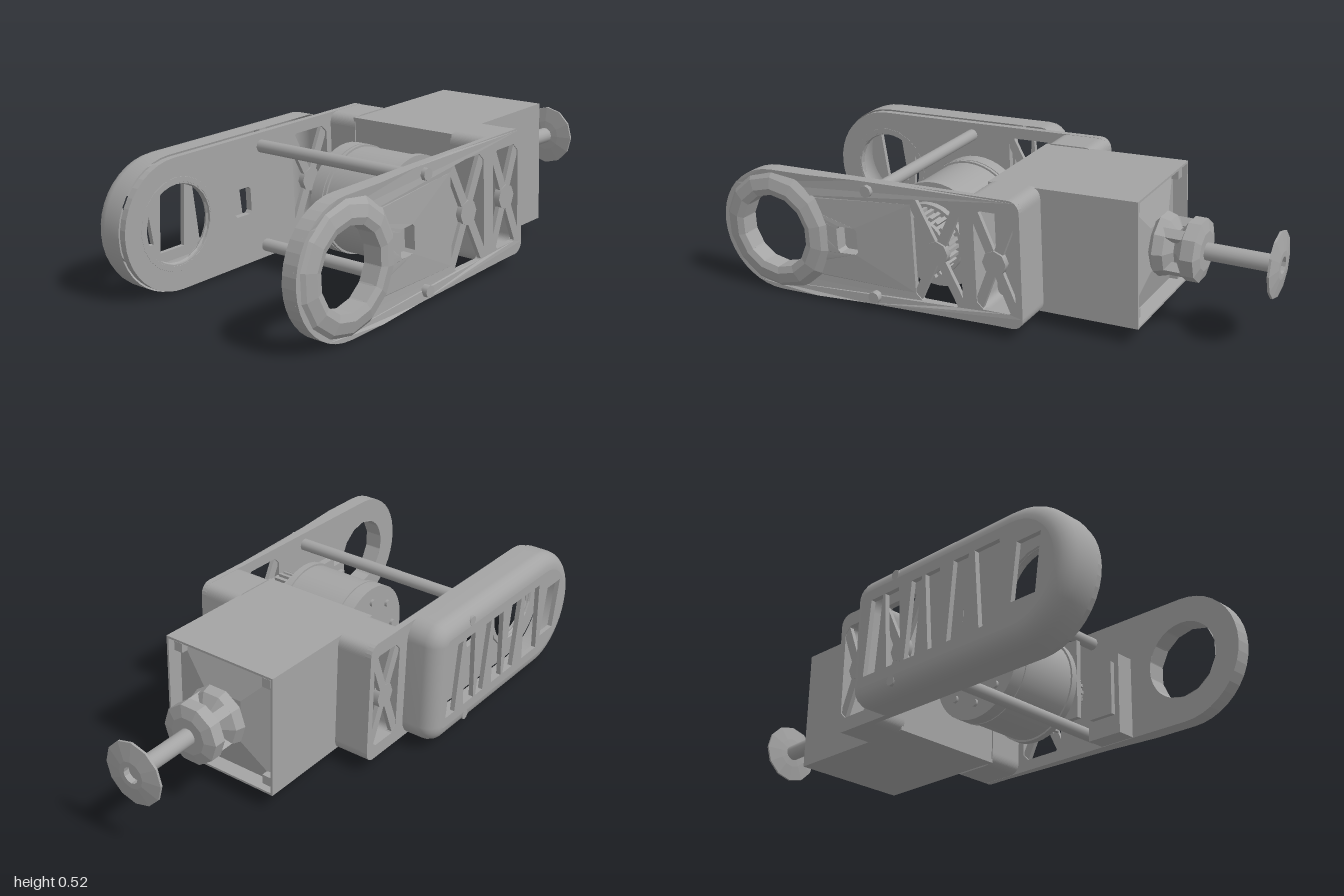
import * as THREE from 'three';

const grey = new THREE.MeshStandardMaterial({ color: 0xa4a4a4, side: THREE.DoubleSide });
grey.name = 'metal grey';
const RING_X = -0.76;

function add(parent, name, geometry, x = 0, y = 0, z = 0) {
  const mesh = new THREE.Mesh(geometry, grey);
  mesh.name = name;
  mesh.position.set(x, y, z);
  parent.add(mesh);
  return mesh;
}
const flat = (g) => {
  const out = g.index ? g.toNonIndexed() : g;
  out.computeVertexNormals();
  return out;
};
const box = (w, h, d) => new THREE.BoxGeometry(w, h, d);
const cylZ = (r, d, n = 32) => new THREE.CylinderGeometry(r, r, d, n).rotateX(Math.PI / 2);
// Lathe profile of [radius, x] pairs, turned about the x axis
const latheX = (pts, n) =>
  new THREE.LatheGeometry(pts.map((p) => new THREE.Vector2(...p)), n).rotateZ(-Math.PI / 2);

// Outline with a round left end and rounded right corners
function outline(r, x1, corner, half = r) {
  const pts = [];
  const arc = (cx, cy, rad, a0, a1, n) => {
    for (let i = 0; i <= n; i++) {
      const a = a0 + ((a1 - a0) * i) / n;
      pts.push(new THREE.Vector2(cx + rad * Math.cos(a), cy + rad * Math.sin(a)));
    }
  };
  const q = Math.PI / 2;
  arc(RING_X, 0, r, q, 3 * q, 20);
  for (const x of [-0.6, -0.4, -0.2]) pts.push(new THREE.Vector2(x, -half));
  arc(x1 - corner, -half + corner, corner, -q, 0, 5);
  arc(x1 - corner, half - corner, corner, 0, q, 5);
  for (const x of [-0.2, -0.4, -0.6]) pts.push(new THREE.Vector2(x, half));
  return pts;
}

// Closed loops of equal length joined into a skin
function loft(rings) {
  const n = rings[0].length, index = [];
  for (let i = 0; i < rings.length - 1; i++)
    for (let j = 0; j < n; j++) {
      const k = (j + 1) % n, a = i * n, b = a + n;
      index.push(a + j, a + k, b + k, a + j, b + k, b + j);
    }
  const g = new THREE.BufferGeometry().setFromPoints(rings.flat());
  g.setIndex(index);
  g.computeVertexNormals();
  return g;
}
const polyHole = (pts) => new THREE.Path(pts.map((p) => new THREE.Vector2(...p)));
const rectHole = (x0, x1, h, c = 0.025) => polyHole([
  [x0 + c, -h], [x1 - c, -h], [x1, -h + c], [x1, h - c], [x1 - c, h], [x0 + c, h], [x0, h - c], [x0, -h + c]]);
const roundHole = (r) => new THREE.Path().absarc(RING_X, 0, r, 0, Math.PI * 2, true);
const extrude = (shape, depth) =>
  new THREE.ExtrudeGeometry(shape, { depth, bevelEnabled: false, curveSegments: 16 });

// Side plate with bearing hole and two strutted windows
function sidePlate(parent, name, depth) {
  const group = new THREE.Group();
  group.name = name;
  const shape = new THREE.Shape(outline(0.232, 0.22, 0.04));
  shape.holes.push(roundHole(0.14), rectHole(-0.2, -0.01, 0.19), rectHole(0.045, 0.195, 0.18),
    rectHole(-0.5, -0.42, 0.05, 0.01));
  add(group, 'plate', extrude(shape, depth));
  for (const [cx, w, h] of [[-0.105, 0.19, 0.38], [0.12, 0.15, 0.36]]) {
    const len = Math.hypot(w, h) - 0.02;
    for (const s of [-1, 1])
      add(group, 'windowStrut', box(0.035, len, 0.016), cx, 0, 0.012 + s * 0.002).rotation.z = s * Math.atan2(w, h);
    add(group, 'strutBoss', cylZ(0.045, 0.024, 8), cx, 0, 0.014);
  }
  parent.add(group);
  return group;
}

// Hollow rounded sleeve joining a side plate to the box
function bracket(parent, name, z, depth) {
  const rr = (x0, x1, h, c) => {
    const s = new THREE.Shape();
    s.moveTo(x0 + c, -h);
    s.lineTo(x1 - c, -h); s.quadraticCurveTo(x1, -h, x1, -h + c);
    s.lineTo(x1, h - c); s.quadraticCurveTo(x1, h, x1 - c, h);
    s.lineTo(x0 + c, h); s.quadraticCurveTo(x0, h, x0, h - c);
    s.lineTo(x0, -h + c); s.quadraticCurveTo(x0, -h, x0 + c, -h);
    return s;
  };
  const s = rr(0.015, 0.22, 0.231, 0.045);
  s.holes.push(rr(0.04, 0.198, 0.195, 0.03));
  add(parent, name, extrude(s, depth), 0, 0, z);
}

export function createModel() {
  const model = new THREE.Group();
  const arm = new THREE.Group();
  arm.name = 'forearm';
  arm.position.y = 0.266;
  arm.rotation.z = 0.04;
  model.add(arm);

  // Front plate, thickening towards the bearing end
  const front = sidePlate(arm, 'frontPlate', 0.022);
  front.position.z = 0.38;
  const g = front.children[0].geometry, p = g.attributes.position;
  for (let i = 0; i < p.count; i++)
    if (p.getZ(i) > 0.01)
      p.setZ(i, 0.022 + 0.035 * THREE.MathUtils.clamp((-0.2 - p.getX(i)) / 0.4, 0, 1));
  g.computeVertexNormals();
  // Faceted bearing rim
  const rim = new THREE.LatheGeometry([[0.14, 0], [0.14, 0.07], [0.165, 0.078], [0.205, 0.068], [0.232, 0.045]]
    .map((q) => new THREE.Vector2(...q)), 14).rotateX(Math.PI / 2);
  add(front, 'bearingRim', flat(rim), RING_X, 0, 0);
  for (const y of [-0.2, 0.2]) add(front, 'plateBolt', cylZ(0.022, 0.05, 8), -0.36, y, 0.03);

  // Back inner plate
  const back = sidePlate(arm, 'backPlate', 0.025);
  back.position.z = -0.345;
  add(back, 'bearingRim', flat(new THREE.TorusGeometry(0.155, 0.018, 6, 20)), RING_X, 0, 0.01);

  // Back cover: rounded shell and slotted outer face
  const cover = new THREE.Group();
  cover.name = 'backCover';
  arm.add(cover);
  const R = 0.238, edge = 0.06, ring = (inset, z) =>
    outline(R - inset, -inset, 0.075 - inset).map((v) => new THREE.Vector3(v.x, v.y, z));
  const rings = [];
  for (let i = 0; i <= 6; i++) {
    const a = (i / 6) * Math.PI / 2;
    rings.push(ring(edge * (1 - Math.sin(a)), -0.475 + edge * (1 - Math.cos(a))));
  }
  rings.push(ring(0, -0.345));
  add(cover, 'coverShell', loft(rings));
  const face = new THREE.Shape(outline(R - edge, -edge, 0.015));
  const slots = [[-0.12, 0.06], [-0.22, 0.07], [-0.32, 0.05], [-0.42, 0.07], [-0.53, 0.07], [-0.67, 0.11], [-0.825, 0.1]];
  slots.forEach(([x, w], i) => {
    const t = (i % 2 ? 1 : -1) * 0.012, h = i === 6 ? 0.1 : 0.14, a = w / 2;
    face.holes.push(polyHole([[x - a - t, -h], [x + a - t, -h], [x + a + t, h], [x - a + t, h]]));
  });
  add(cover, 'slottedFace', extrude(face, 0.018), 0, 0, -0.475);
  for (const s of [-1, 1]) add(cover, 'coverScrew', cylZ(0.018, 0.03, 10), -0.22, s * 0.195, -0.46);

  // Sleeves between the plates and the box
  bracket(arm, 'frontBracket', 0.24, 0.145);
  bracket(arm, 'backBracket', -0.325, 0.125);

  // Square housing with a recessed end
  const sq = (x, h, w) => [[-1, -1], [1, -1], [1, 1], [-1, 1]].map(([y, z]) =>
    new THREE.Vector3(x, y * h, 0.018 + z * w));
  add(arm, 'housing', flat(loft([sq(0.02, 0, 0), sq(0.02, 0.226, 0.226), sq(0.575, 0.228, 0.228),
    sq(0.575, 0.22, 0.22), sq(0.525, 0.212, 0.212), sq(0.56, 0.08, 0.08), sq(0.56, 0, 0)])));
  for (const y of [-1, 1]) for (const z of [-1, 1])
    add(arm, 'housingCornerPost', box(0.03, 0.035, 0.035), 0.545, y * 0.19, 0.018 + z * 0.19);

  // Faceted wrist collar, shaft and tool disc
  const wrist = new THREE.Group();
  wrist.name = 'wrist';
  wrist.position.z = 0.02;
  wrist.rotation.z = -0.03;
  wrist.position.y = 0.018;
  arm.add(wrist);
  add(wrist, 'wristCollar', flat(latheX([[0.08, 0.545], [0.115, 0.575], [0.105, 0.61], [0.062, 0.635],
    [0.075, 0.65], [0.112, 0.675], [0.112, 0.72], [0.07, 0.732], [0, 0.732]], 10)));
  for (let i = 0; i < 4; i++) {
    const a = (i + 0.5) * Math.PI / 2;
    add(wrist, 'collarLug', box(0.12, 0.035, 0.035), 0.65, 0.085 * Math.cos(a), 0.085 * Math.sin(a)).rotation.x = a;
  }
  add(wrist, 'shaft', latheX([[0.031, 0.72], [0.031, 0.975]], 20));
  add(wrist, 'toolDisc', flat(latheX([[0.031, 0.965], [0.06, 0.968], [0.117, 0.978], [0.117, 0.986],
    [0.05, 0.998], [0.03, 0.998], [0.03, 0.975], [0, 0.975]], 12)));

  // Motor drum with collar rings and end bolts
  const motor = new THREE.Group();
  motor.name = 'motor';
  motor.position.x = -0.195;
  arm.add(motor);
  add(motor, 'motorBody', cylZ(0.19, 0.3, 40), 0, 0, 0.09);
  for (const [z, d] of [[-0.035, 0.05], [0.0, 0.012], [0.24, 0.025]])
    add(motor, 'motorRing', cylZ(0.197, d, 40), 0, 0, z);
  add(motor, 'motorHub', cylZ(0.06, 0.02, 20), 0, 0, -0.065);
  for (let i = 0; i < 8; i++) {
    const a = (i * Math.PI) / 4;
    add(motor, 'motorBolt', cylZ(0.014, 0.012, 8), 0.14 * Math.cos(a), 0.14 * Math.sin(a), -0.064);
  }
  // Toothed pulley between motor and front plate
  add(motor, 'pulleyFlange', cylZ(0.135, 0.025, 28), 0, 0, 0.295);
  add(motor, 'pulleyCore', cylZ(0.112, 0.14, 28), 0, 0, 0.315);
  for (let i = 0; i < 28; i++) {
    const a = (i * Math.PI) / 14;
    add(motor, 'pulleyTooth', box(0.02, 0.013, 0.06), 0.115 * Math.cos(a), 0.115 * Math.sin(a), 0.34).rotation.z = a;
  }
  add(arm, 'motorMount', box(0.1, 0.3, 0.02), -0.34, 0, 0.265);

  // Cross rods and small side block
  for (const y of [-0.185, 0.185]) add(arm, 'crossRod', cylZ(0.023, 0.7, 16), -0.36, y, 0.035);
  add(arm, 'sideBlock', box(0.14, 0.3, 0.07), -0.465, -0.08, 0.345);
  add(arm, 'sideBlockCap', box(0.1, 0.2, 0.02), -0.465, -0.06, 0.302);
  return model;
}
